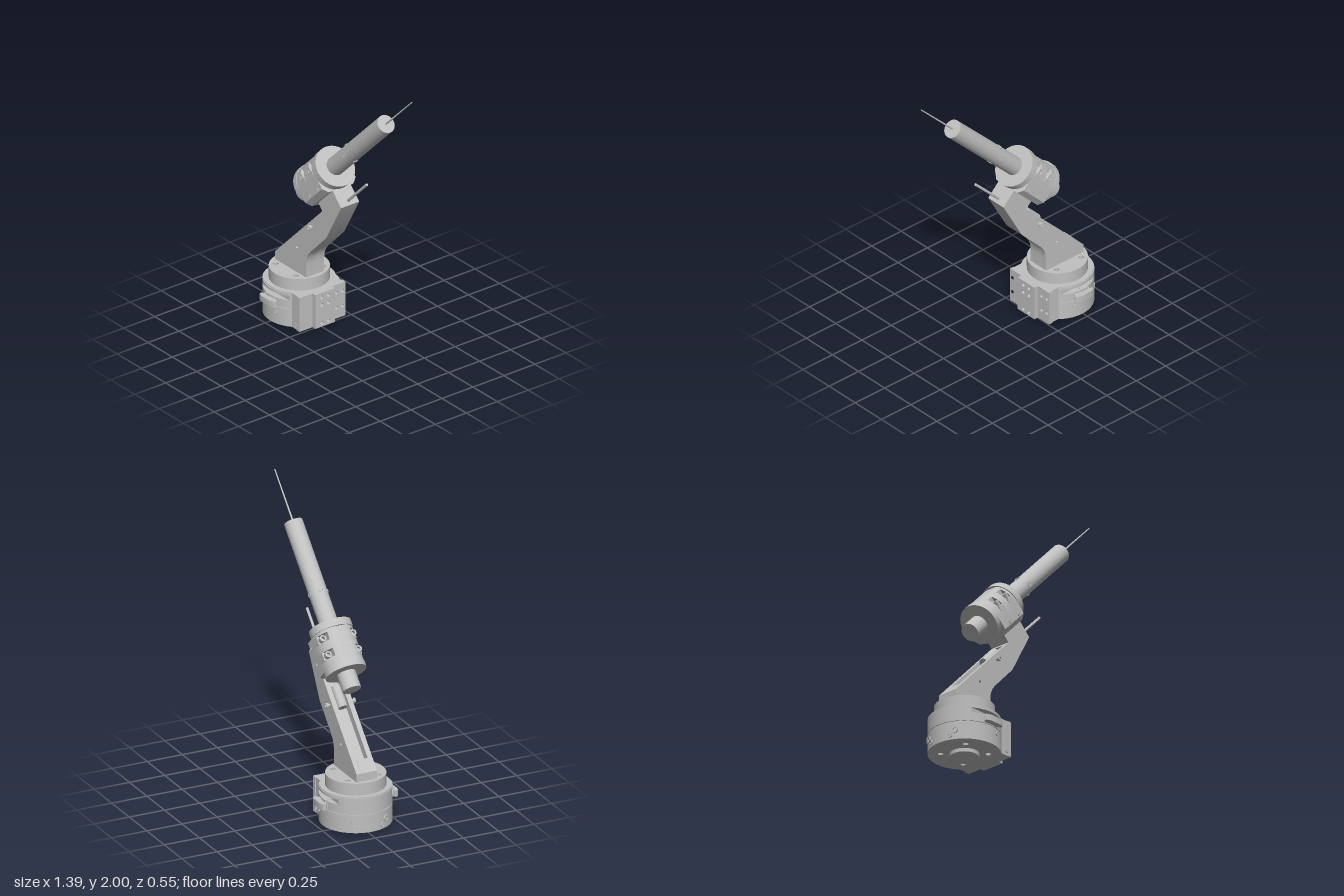
import * as THREE from 'three';
import { toCreasedNormals } from 'three/addons/utils/BufferGeometryUtils.js';

const CX = -0.467;               // axis of the base
const HEAD = [-0.415, 0.895];    // lower end of the barrel
const S = Math.SQRT1_2;

export function createModel() {
  const metal = new THREE.MeshStandardMaterial({ color: 0xc0c0c0 });
  metal.name = 'light grey metal';
  const model = new THREE.Group();
  model.name = 'roboticArm';

  const add = (parent, name, geo, x = 0, y = 0, z = 0) => {
    const m = new THREE.Mesh(geo, metal);
    m.name = name;
    m.position.set(x, y, z);
    parent.add(m);
    return m;
  };
  const poly = pts => new THREE.Shape(pts.map(p => new THREE.Vector2(p[0], p[1])));
  const hole = (shape, x, y, r) => {
    shape.holes.push(new THREE.Path().absarc(x, y, r, 0, Math.PI * 2, true));
    return shape;
  };
  const extrude = (shape, depth) => toCreasedNormals(
    new THREE.ExtrudeGeometry(shape, { depth, bevelEnabled: false, curveSegments: 24 }), 0.5);
  const extrudeY = (shape, depth) => extrude(shape, depth).rotateX(-Math.PI / 2);
  const extrudeX = (shape, depth) => extrude(shape, depth).rotateY(Math.PI / 2);
  const cylX = (r, x0, x1, r2 = r) =>
    new THREE.CylinderGeometry(r2, r, x1 - x0, 40).rotateZ(-Math.PI / 2).translate((x0 + x1) / 2, 0, 0);
  // Socket screw standing along +y
  const screwGeo = (r, h) => toCreasedNormals(new THREE.LatheGeometry(
    [[r, 0], [r, h], [r * 0.55, h], [r * 0.55, h * 0.3], [0, h * 0.3]]
      .map(p => new THREE.Vector2(p[0], p[1])), 20), 0.5);

  // ---- Base: stacked plan outlines, round with a squared mounting side
  const base = new THREE.Group();
  base.name = 'base';
  base.position.x = CX;
  model.add(base);
  const boltHoles = shape => {
    for (const x of [-0.105, 0.105]) for (const z of [-0.11, 0.11]) hole(shape, x, z, 0.018);
    return shape;
  };
  const baseOutline = (r, flat) => {
    const w = 0.18, a0 = Math.asin(w / r), pts = [[0.207, -w], [0.207, w]];
    for (let i = 0; i <= 72; i++) {
      const a = a0 + (i / 72) * (Math.PI * 2 - 2 * a0);
      const z = r * Math.sin(a);
      pts.push([r * Math.cos(a), Math.max(-flat, Math.min(flat, z))]);
    }
    return boltHoles(poly(pts));
  };
  [
    ['lowerHousing', 0.235, 1, 0.025, 0.148],
    ['housingSeam', 0.229, 1, 0.148, 0.153],
    ['upperHousing', 0.235, 1, 0.153, 0.212],
    ['slottedHousing', 0.235, 0.19, 0.212, 0.245],
    ['housingRim', 0.235, 1, 0.245, 0.262],
    ['housingChamfer', 0.229, 1, 0.262, 0.268],
  ].forEach(([name, r, flat, y0, y1]) => add(base, name, extrudeY(baseOutline(r, flat), y1 - y0), 0, y0));
  add(base, 'foot', new THREE.CylinderGeometry(0.095, 0.095, 0.03, 48), 0, 0.015);
  const ring = new THREE.Shape().absarc(0, 0, 0.195, 0, Math.PI * 2);
  add(base, 'turntable', extrudeY(boltHoles(ring), 0.082), 0, 0.268);

  // Drilled mounting plates on the squared side
  for (const s of [-1, 1]) {
    const side = poly([[s * 0.08, 0.025], [s * 0.185, 0.025], [s * 0.185, 0.268], [s * 0.08, 0.268]]);
    for (const z of [0.115, 0.163]) for (const y of [0.1, 0.208]) hole(side, s * z, y, 0.012);
    add(base, 'sidePlate', extrudeX(side, 0.03), 0.207);
  }
  const centre = poly([[-0.08, 0.025], [0.08, 0.025], [0.08, 0.268], [-0.08, 0.268]]);
  for (const z of [-0.027, 0.027]) for (const y of [0.05, 0.18, 0.235]) hole(centre, z, y, 0.013);
  add(base, 'centrePlate', extrudeX(centre, 0.06), 0.207);

  // Clamp levers and small screws on both flanks
  const lever = poly([[-0.06, 0.2], [-0.06, 0.238], [-0.078, 0.25], [-0.072, 0.264], [-0.045, 0.275],
    [0.045, 0.275], [0.072, 0.264], [0.078, 0.25], [0.06, 0.238], [0.06, 0.2]]);
  for (const s of [-1, 1]) {
    const l = add(base, 'clampLever', extrudeY(lever, 0.042), 0, 0.158);
    l.rotation.y = s > 0 ? Math.PI : 0;
    add(base, 'leverStem', new THREE.BoxGeometry(0.05, 0.05, 0.06), -0.02, 0.19, s * 0.21);
    for (const [deg, y, r] of [[152, 0.09, 0.022], [160, 0.055, 0.016], [77, 0.11, 0.012]]) {
      const a = THREE.MathUtils.degToRad(deg), holder = new THREE.Group();
      holder.name = 'housingScrew';
      holder.position.set(0.23 * Math.cos(a), y, s * 0.23 * Math.sin(a));
      holder.rotation.y = -s * a;
      base.add(holder);
      add(holder, 'screwHead', screwGeo(r, 0.012)).rotation.z = -Math.PI / 2;
    }
    const f = add(base, 'blockScrew', screwGeo(0.013, 0.006), 0.197, 0.055, s * 0.182);
    f.rotation.x = s * Math.PI / 2;
  }

  // ---- Arm: two full cheeks around a slotted core
  const L = (u, v) => [HEAD[0] + S * (u - v), HEAD[1] + S * (u + v)];
  const armShape = slot => {
    const pts = [[-0.305, 0.348], [-0.305, 0.44], [-0.3, 0.485], [-0.285, 0.52], [-0.26, 0.552],
      [-0.1, 0.717], L(0.406, -0.26), L(0.406, -0.132), L(0.198, -0.132), L(0.198, -0.195)];
    if (slot) pts.push(L(0.17, -0.195), L(0.17, -0.25), L(-0.38, -0.25), L(-0.4, -0.235), L(-0.4, -0.195));
    pts.push([-0.625, 0.405], [-0.625, 0.348]);
    return hole(poly(pts), -0.4, 0.53, 0.01);
  };
  const arm = new THREE.Group();
  arm.name = 'arm';
  model.add(arm);
  add(arm, 'armCore', extrude(armShape(true), 0.08), 0, 0, -0.04);
  for (const z of [-0.073, 0.04]) add(arm, 'armCheek', extrude(armShape(false), 0.033), 0, 0, z);
  add(arm, 'crossPin', new THREE.CylinderGeometry(0.009, 0.009, 0.19, 16).rotateX(Math.PI / 2), -0.245, 0.74);
  for (const s of [-1, 1]) {
    const k = add(arm, 'pinHead', screwGeo(0.017, 0.016), -0.245, 0.74, s * 0.088);
    k.rotation.x = s * Math.PI / 2;
  }

  // ---- Head, laid along its own x axis and tilted 45 degrees
  const head = new THREE.Group();
  head.name = 'head';
  head.position.set(HEAD[0], HEAD[1], 0);
  head.rotation.z = Math.PI / 4;
  model.add(head);
  add(head, 'slotPlunger', cylX(0.032, -0.03, 0.12), 0, -0.212);
  add(head, 'barrel', cylX(0.0617, 0, 1.187));
  add(head, 'needle', cylX(0.006, 1.18, 1.561, 0.004));
  add(head, 'guideRod', cylX(0.009, 0.4, 0.682), 0, -0.228);
  add(head, 'rearFlange', cylX(0.137, 0.118, 0.158));
  add(head, 'frontFlange', cylX(0.14, 0.4, 0.45));

  // Clamp body: rounded top with a flat, square lower half, pocketed for screws
  const clampShape = pocket => {
    const r = 0.134, right = [[0.1, -0.135], [0.136, -0.1], [0.136, 0]];
    if (pocket) right.push([0.134, 0.04], [0.08, 0.04], [0.08, 0.107]);
    else for (const d of [12, 24, 36, 48]) {
      const a = THREE.MathUtils.degToRad(d);
      right.push([r * Math.cos(a), r * Math.sin(a)]);
    }
    right.push([0.067, 0.116], [0.045, 0.126]);
    return poly([...right, ...right.slice().reverse().map(p => [-p[0], p[1]])]);
  };
  const cuts = [0.158, 0.215, 0.267, 0.327, 0.379, 0.4];
  for (let i = 0; i < 5; i++)
    add(head, 'clampBody', extrudeX(clampShape(i % 2 === 1), cuts[i + 1] - cuts[i]), cuts[i]);
  for (const u of [0.241, 0.353]) for (const s of [-1, 1]) {
    add(head, 'clampScrew', screwGeo(0.022, 0.035), u, 0.04, s * 0.107);
    add(head, 'clampDowel', screwGeo(0.012, 0.005), u, -0.085, s * 0.135).rotation.x = s * Math.PI / 2;
  }

  // Set screws around the barrel
  for (const [u, a] of [[0.683, 0], [0.683, 90], [0.683, 180], [0.683, 270]]) {
    const t = THREE.MathUtils.degToRad(a);
    const k = add(head, 'barrelSetScrew', screwGeo(0.019, 0.01), u, 0.054 * Math.cos(t), 0.054 * Math.sin(t));
    k.rotation.x = t;
  }
  return model;
}
